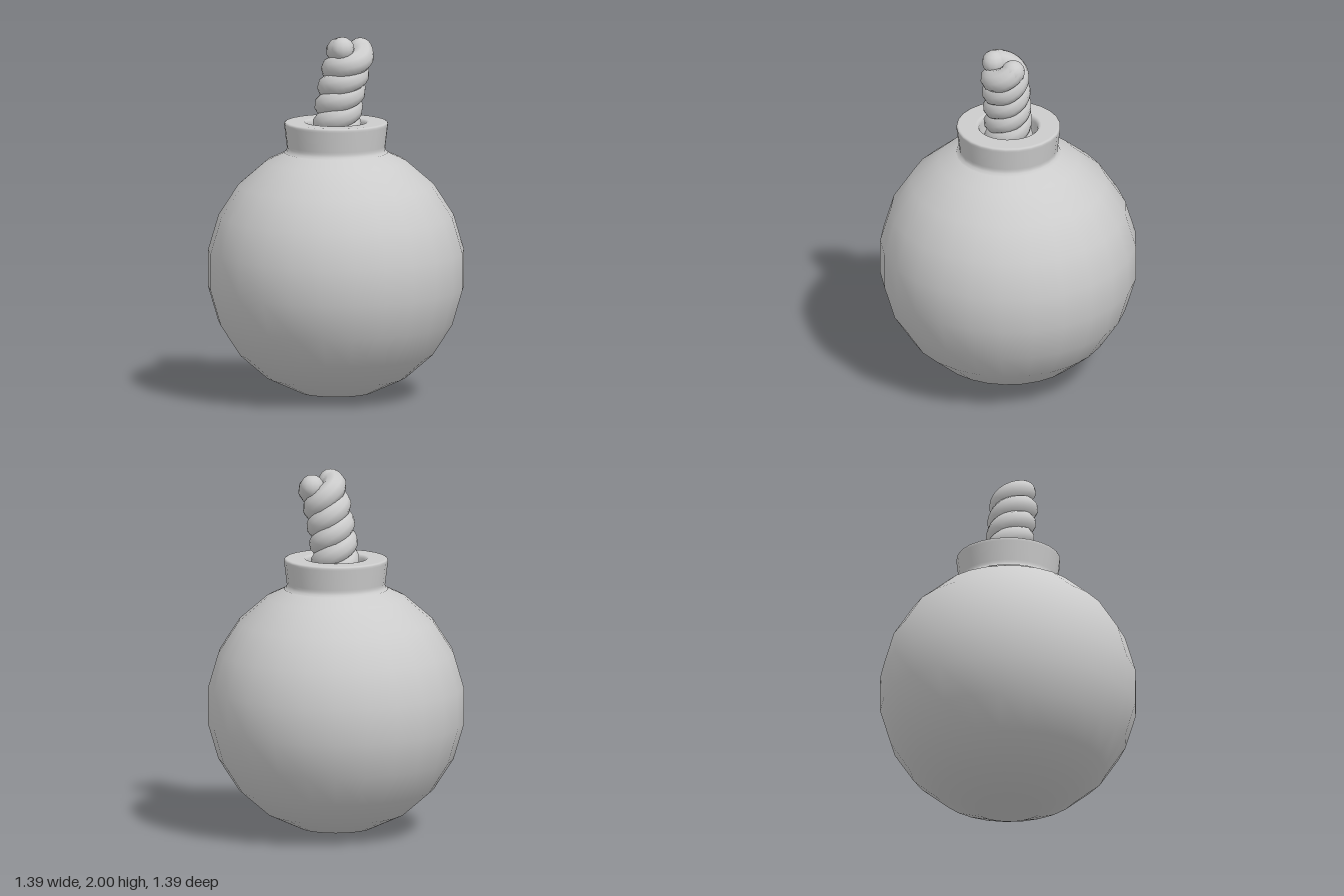
import * as THREE from 'three';

const SIDES = 25;

function lathe(name, points, material) {
  const geometry = new THREE.LatheGeometry(points.map(([r, y]) => new THREE.Vector2(r, y)), SIDES);
  geometry.rotateY(Math.PI / 2); // put a corner on +x
  const mesh = new THREE.Mesh(geometry, material);
  mesh.name = name;
  return mesh;
}

// Helix wound around a gently leaning axis
class StrandCurve extends THREE.Curve {
  constructor(endAngle) {
    super();
    this.endAngle = endAngle;
  }
  getPoint(t, target = new THREE.Vector3()) {
    const bottom = 1.38, height = 0.545, lean = 0.09, radius = 0.068, turns = 2.75;
    const tangent = new THREE.Vector2(2 * lean * t, height).normalize();
    const angle = this.endAngle - (1 - t) * turns * Math.PI * 2;
    const side = radius * Math.cos(angle);
    return target.set(
      lean * t * t + side * tangent.y,
      bottom + height * t - side * tangent.x,
      -radius * Math.sin(angle)
    );
  }
}

export function createModel() {
  const model = new THREE.Group();
  model.name = 'roundBomb';
  const grey = new THREE.MeshStandardMaterial({ color: 0xcccccc });

  // Faceted-outline ball, cut open where the collar sits
  const ball = [];
  const R = 0.706;
  for (let i = 0; i <= 9; i++) {
    const a = (i * Math.PI) / 11;
    ball.push([R * Math.sin(a), 0.709 - R * Math.cos(a)]);
  }
  ball.push([0.26, 1.36]);
  model.add(lathe('body', ball, grey));

  // Flared collar with softened rims and a recessed hole
  model.add(lathe('collar', [
    [0.285, 1.352], [0.271, 1.362], [0.268, 1.378], [0.27, 1.39],
    [0.283, 1.5], [0.284, 1.51], [0.282, 1.517], [0.276, 1.52], [0.27, 1.521],
    [0.18, 1.521], [0.172, 1.52], [0.165, 1.514], [0.161, 1.505], [0.16, 1.495],
    [0.155, 1.43], [0.153, 1.421], [0.145, 1.42], [0, 1.42]
  ], grey));

  // Fuse of two twisted strands with rounded tips
  const fuse = new THREE.Group();
  fuse.name = 'fuse';
  const strandRadius = 0.066;
  for (let i = 0; i < 2; i++) {
    const curve = new StrandCurve(-1.98 + i * Math.PI);
    const strand = new THREE.Mesh(new THREE.TubeGeometry(curve, 60, strandRadius, 10), grey);
    strand.name = 'fuseStrand';
    const tip = new THREE.Mesh(new THREE.SphereGeometry(strandRadius, 12, 8), grey);
    tip.name = 'fuseTip';
    tip.position.copy(curve.getPoint(1));
    fuse.add(strand, tip);
  }
  model.add(fuse);
  return model;
}
